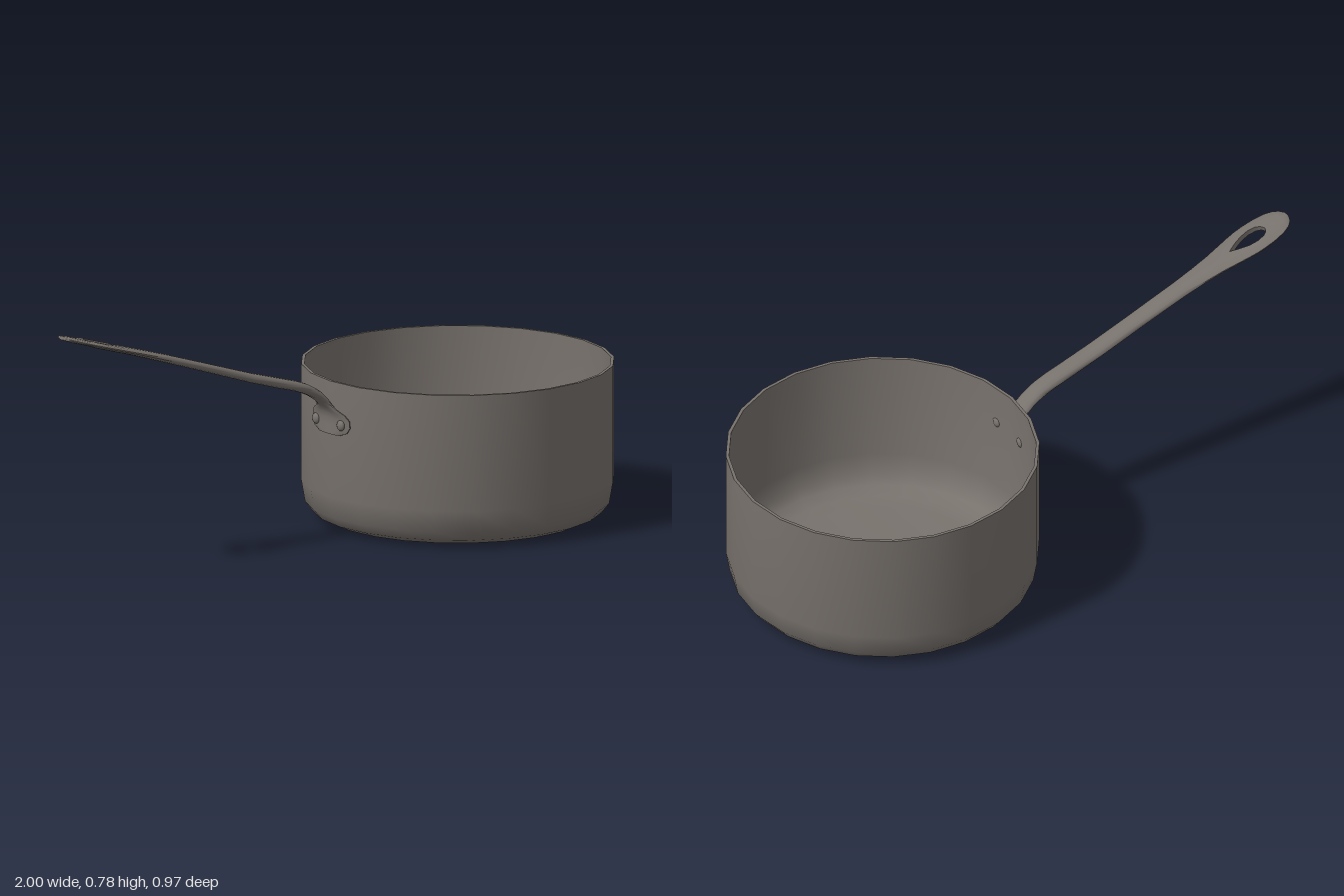
import * as THREE from 'three';
import { toCreasedNormals } from 'three/addons/utils/BufferGeometryUtils.js';

const PAN_X = 0.513, PAN_R = 0.487;

// How far the round pan wall recedes at a given z
const wallInset = z => PAN_R - Math.sqrt(PAN_R * PAN_R - z * z);

// Open pot with rounded bottom edge: outside upwards, over the rim, inside downwards
function panGeometry() {
  const outer = [[0, 0], [0.36, 0.001], [0.41, 0.007], [0.45, 0.025], [0.475, 0.056], [0.487, 0.125], [0.487, 0.494]];
  const inner = [[0.477, 0.494], [0.477, 0.13], [0.466, 0.064], [0.443, 0.034], [0.406, 0.017], [0.36, 0.011], [0, 0.01]];
  const points = [...outer, ...inner].map(([x, y]) => new THREE.Vector2(x, y));
  return toCreasedNormals(new THREE.LatheGeometry(points, 24), 0.75);
}

// One half of the handle (side = 1 or -1), lofted along its centre line
function handleHalf(side) {
  const path = new THREE.CatmullRomCurve3([
    [-1, 0.77], [-0.8, 0.711], [-0.6, 0.65], [-0.245, 0.535], [-0.07, 0.482],
    [-0.005, 0.437], [0.019, 0.39], [0.02, 0.33],
  ].map(([x, y]) => new THREE.Vector3(x, y, 0)));
  path.arcLengthDivisions = 400;
  const L = path.getLength();
  // distance from tip, half width, hole half width, half thickness
  const stations = [
    [0, 0.014, 0, 0.006], [0.008, 0.031, 0, 0.007], [0.025, 0.046, 0, 0.008], [0.05, 0.057, 0, 0.008],
    [0.083, 0.063, 0, 0.008], [0.09, 0.064, 0.016, 0.008], [0.105, 0.065, 0.026, 0.009],
    [0.13, 0.066, 0.03, 0.009], [0.16, 0.065, 0.026, 0.009], [0.19, 0.061, 0.015, 0.01],
    [0.22, 0.056, 0, 0.01], [0.28, 0.046, 0, 0.011], [0.34, 0.04, 0, 0.012], [0.42, 0.036, 0, 0.013],
    [0.6, 0.034, 0, 0.014], [0.75, 0.034, 0, 0.015],
    [L - 0.3, 0.034, 0, 0.016], [L - 0.24, 0.034, 0, 0.016], [L - 0.2, 0.034, 0, 0.016],
    [L - 0.17, 0.034, 0, 0.015], [L - 0.145, 0.034, 0, 0.014], [L - 0.12, 0.035, 0, 0.012],
    [L - 0.1, 0.038, 0, 0.01], [L - 0.085, 0.052, 0, 0.008], [L - 0.07, 0.08, 0, 0.006],
    [L - 0.052, 0.096, 0, 0.006], [L - 0.03, 0.098, 0, 0.006], [L - 0.012, 0.086, 0, 0.006], [L, 0.055, 0, 0.006],
  ];
  // crowned half section: position across, height factor
  const section = [[0, 1], [0.45, 0.95], [0.8, 0.7], [1, 0.2], [1, -0.2], [0.8, -0.7], [0.45, -0.95], [0, -1]];
  const n = section.length, pos = [], idx = [];
  const tri = (a, b, c) => idx.push(...(side > 0 ? [a, b, c] : [a, c, b]));

  stations.forEach(([s, w, h, th], j) => {
    const u = Math.min(s / L, 1), p = path.getPointAt(u), t = path.getTangentAt(u);
    const hug = THREE.MathUtils.smoothstep(s, L - 0.12, L - 0.06);
    for (const [across, f] of section) {
      const z = h + (w - h) * across;
      pos.push(p.x - t.y * th * f + hug * wallInset(z), p.y + t.x * th * f, side * z);
    }
    if (j === 0) return;
    for (let i = 0; i < n; i++) {
      const k = (i + 1) % n, a = (j - 1) * n, b = j * n;
      tri(a + i, a + k, b + i);
      tri(a + k, b + k, b + i);
    }
  });
  // end caps
  const last = (stations.length - 1) * n;
  for (let k = 1; k < n - 1; k++) {
    tri(0, k + 1, k);
    tri(last, last + k, last + k + 1);
  }
  const geo = new THREE.BufferGeometry();
  geo.setAttribute('position', new THREE.Float32BufferAttribute(pos, 3));
  geo.setIndex(idx);
  return toCreasedNormals(geo, 0.9);
}

export function createModel() {
  const model = new THREE.Group();
  model.name = 'saucepan';
  const metal = new THREE.MeshStandardMaterial({ color: 0x78726d });
  metal.name = 'warm grey metal';

  const add = (name, geometry, parent = model) => {
    const mesh = new THREE.Mesh(geometry, metal);
    mesh.name = name;
    parent.add(mesh);
    return mesh;
  };

  add('pan', panGeometry()).position.x = PAN_X;

  const handle = new THREE.Group();
  handle.name = 'handle';
  model.add(handle);
  const rivetHead = new THREE.SphereGeometry(0.017, 12, 8);
  for (const side of [1, -1]) {
    const label = side > 0 ? 'left' : 'right';
    add(label + 'HandleHalf', handleHalf(side), handle);
    // rivet heads outside on the mount and inside the pan
    const z = 0.065 * side;
    for (const [where, x] of [['Outer', 0.014], ['Inner', 0.037]]) {
      const rivet = add(label + where + 'Rivet', rivetHead, handle);
      rivet.position.set(x + wallInset(z), 0.365, z);
      rivet.scale.x = 0.55;
    }
  }
  return model;
}
